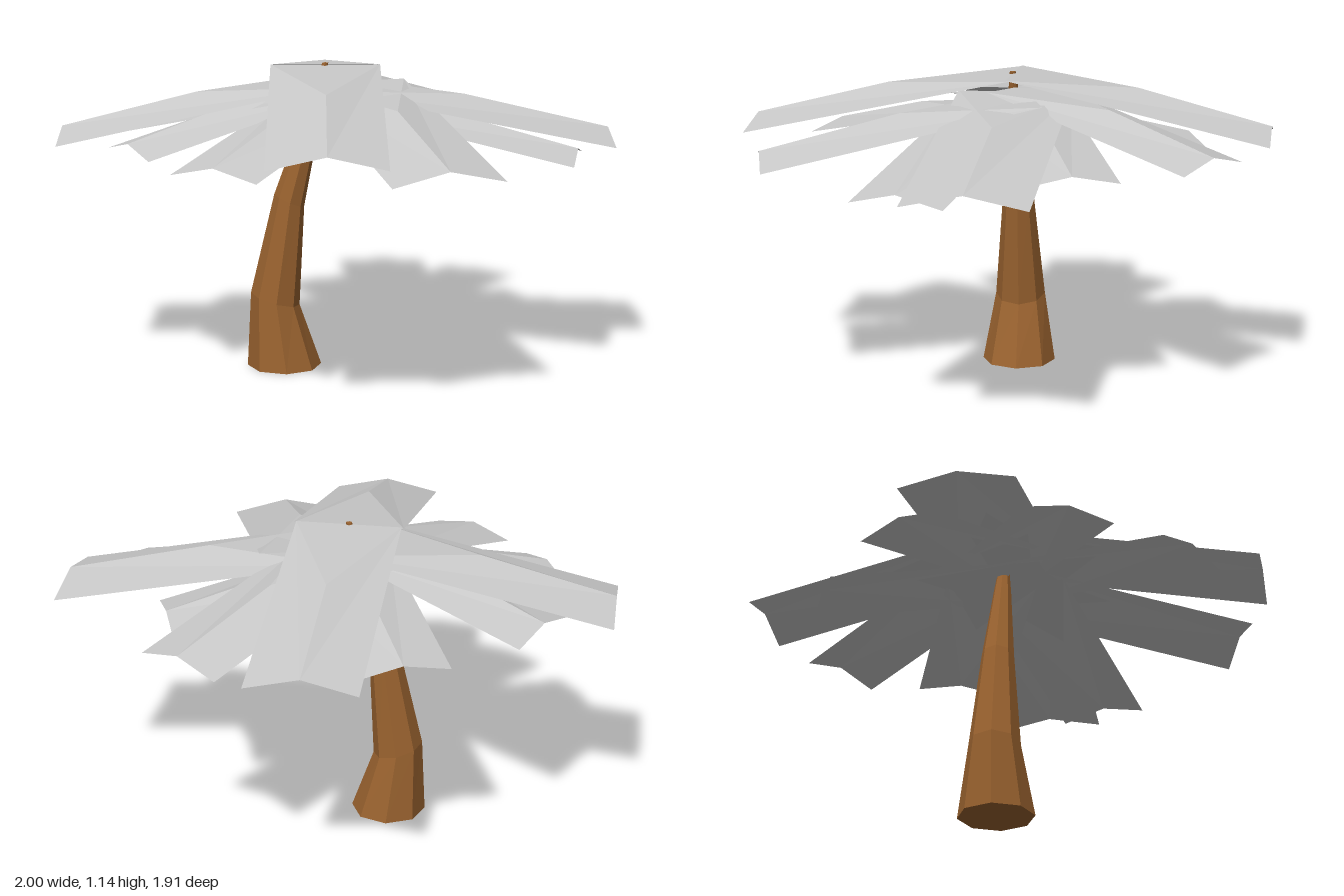
import * as THREE from 'three';

const bark = new THREE.MeshStandardMaterial({ color: 0x99622f, flatShading: true });
bark.name = 'bark brown';
const leaf = new THREE.MeshStandardMaterial({ color: 0xc8c8c8, flatShading: true, side: THREE.DoubleSide });
leaf.name = 'frond grey';

// Leaf strip along +z: flat inner edge, creased ridge bending at half length
function frondGeometry(width, length, drop) {
  const w = width / 2;
  const inL = [-w, 0, 0], inR = [w, 0, 0];
  const mid = [0, -drop * 0.2, length * 0.49];
  const outL = [-w, -drop, length], outR = [w, -drop, length];
  const outC = [0, -drop * 0.79, length];
  const faces = [inL, mid, inR, inL, outL, outC, inL, outC, mid, inR, mid, outC, inR, outC, outR];
  const g = new THREE.BufferGeometry();
  g.setAttribute('position', new THREE.Float32BufferAttribute(faces.flat(), 3));
  g.computeVertexNormals();
  return g;
}

// Bent eight-sided trunk lofted through tilted rings: [x, y, radius, tilt]
function trunkGeometry() {
  const rings = [
    [-0.195, 0, 0.138, 0], [-0.228, 0.255, 0.094, 0.27], [-0.174, 0.63, 0.06, 0.4],
    [-0.09, 0.94, 0.033, 0.25], [-0.04, 1.14, 0.011, 0],
  ];
  const n = 8, pos = [], idx = [];
  for (const [x, y, r, tilt] of rings) {
    for (let i = 0; i < n; i++) {
      const a = (i / n) * Math.PI * 2 + 0.07;
      const c = r * Math.cos(a);
      pos.push(x + c * Math.cos(tilt), y - c * Math.sin(tilt), -0.017 - r * Math.sin(a));
    }
  }
  for (let k = 0; k < rings.length - 1; k++) {
    for (let i = 0; i < n; i++) {
      const a = k * n + i, b = k * n + ((i + 1) % n);
      idx.push(a, b, b + n, a, b + n, a + n);
    }
  }
  // End caps
  const top = (rings.length - 1) * n;
  for (let i = 1; i < n - 1; i++) idx.push(0, i + 1, i, top, top + i, top + i + 1);
  const g = new THREE.BufferGeometry();
  g.setAttribute('position', new THREE.Float32BufferAttribute(pos, 3));
  g.setIndex(idx);
  const flat = g.toNonIndexed();
  flat.computeVertexNormals();
  return flat;
}

export function createModel() {
  const model = new THREE.Group();
  model.name = 'palmTree';

  const trunk = new THREE.Mesh(trunkGeometry(), bark);
  trunk.name = 'trunk';
  model.add(trunk);

  const crown = new THREE.Group();
  crown.name = 'crown';
  model.add(crown);

  // Tip x, tip z, direction x, direction z, width, length, inner height, drop
  const fronds = [
    [-0.04, 0.95, 0, 1, 0.4, 0.98, 1.132, 0.212],
    [-0.04, -0.96, 0, -1, 0.38, 0.94, 1.134, 0.214],
    [1, -0.028, 1, 0, 0.425, 1.04, 1.065, 0.208],
    [-1, 0.007, -1, 0, 0.4, 0.96, 1.08, 0.21],
    [0.405, -0.78, 0.53, -0.85, 0.341, 0.88, 1.08, 0.19],
    [-0.327, -0.643, -0.44, -0.9, 0.34, 0.69, 1.01, 0.155],
    [-0.763, -0.247, -0.9, -0.43, 0.34, 0.8, 1.045, 0.18],
    [-0.73, 0.34, -0.86, 0.51, 0.33, 0.79, 1.045, 0.18],
    [-0.415, 0.725, -0.5, 0.86, 0.338, 0.84, 1.03, 0.18],
    [0.36, 0.83, 0.3, 0.95, 0.4, 0.985, 1.06, 0.21],
    [0.857, 0.224, 0.976, 0.216, 0.34, 0.86, 1.01, 0.185],
    [0.563, -0.317, 0.92, -0.38, 0.34, 0.66, 1.0, 0.15],
  ];
  fronds.forEach(([x, z, dx, dz, width, length, y, drop], i) => {
    const s = length / Math.hypot(dx, dz);
    const frond = new THREE.Mesh(frondGeometry(width, length, drop), leaf);
    frond.name = `frond${i + 1}`;
    frond.position.set(x - dx * s, y, z - dz * s);
    frond.rotation.y = Math.atan2(dx, dz);
    crown.add(frond);
  });
  return model;
}
